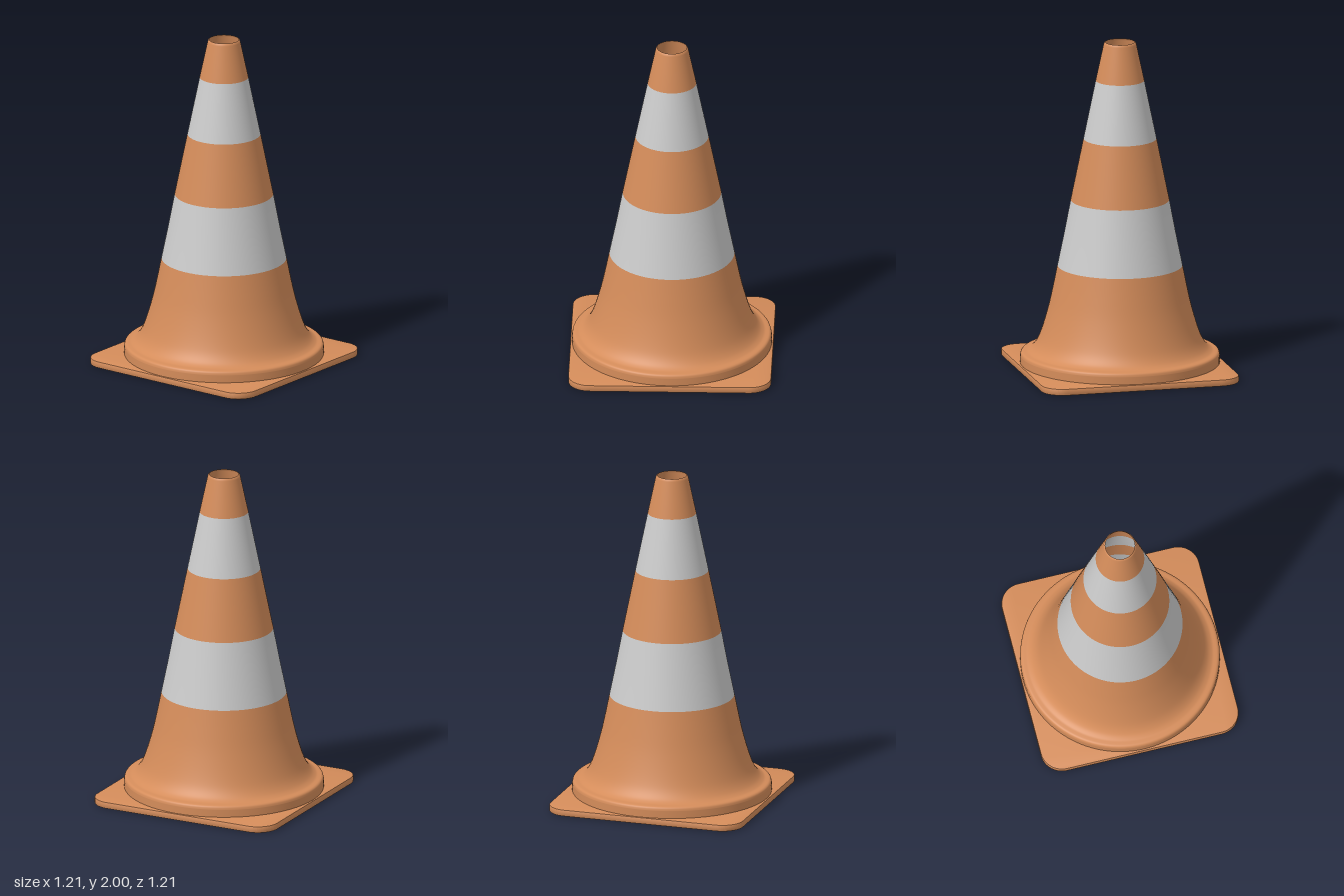
import * as THREE from 'three';
import { toCreasedNormals } from 'three/addons/utils/BufferGeometryUtils.js';

const orange = new THREE.MeshStandardMaterial({ color: 0xd48c5a, side: THREE.DoubleSide });
const grey = new THREE.MeshStandardMaterial({ color: 0xcccccc, side: THREE.DoubleSide });

const points = (list) => list.map(([r, y]) => new THREE.Vector2(r, y));

function addLathe(group, name, profile, material) {
  const mesh = new THREE.Mesh(new THREE.LatheGeometry(profile, 96), material);
  mesh.name = name;
  group.add(mesh);
}

export function createModel() {
  const model = new THREE.Group();
  model.name = 'trafficCone';

  // Square base plate with rounded corners and a fine bevel
  const half = 0.6, radius = 0.125, bevel = 0.005;
  const outline = new THREE.Shape();
  for (let i = 0; i < 4; i++) {
    const a = (i * Math.PI) / 2;
    const c = half - radius;
    const cx = i === 0 || i === 3 ? c : -c;
    const cy = i < 2 ? c : -c;
    outline.absarc(cx, cy, radius, a, a + Math.PI / 2, false);
  }
  outline.closePath();
  const plate = new THREE.ExtrudeGeometry(outline, {
    depth: 0.03, bevelEnabled: true, bevelSize: bevel, bevelThickness: bevel,
    bevelSegments: 2, curveSegments: 16,
  });
  plate.rotateX(-Math.PI / 2);
  plate.translate(0, bevel, 0);
  const base = new THREE.Mesh(toCreasedNormals(plate, 0.6), orange);
  base.name = 'basePlate';
  model.add(base);

  // Round foot rim with a softened upper edge
  const rim = new THREE.SplineCurve(points([
    [0.595, 0.085], [0.591, 0.1], [0.582, 0.108], [0.568, 0.111],
  ])).getPoints(12);
  addLathe(model, 'footRim', [...points([[0.595, 0.04]]), ...rim], orange);

  // Flared skirt sweeping up into the cone
  const skirt = new THREE.SplineCurve(points([
    [0.568, 0.111], [0.548, 0.116], [0.522, 0.135], [0.497, 0.17], [0.475, 0.22],
    [0.449, 0.3], [0.422, 0.4], [0.397, 0.515], [0.373, 0.635],
  ])).getPoints(48);
  addLathe(model, 'skirt', skirt, orange);

  // Alternating bands of the hollow cone
  addLathe(model, 'lowerStripe', points([[0.373, 0.635], [0.333, 0.83], [0.294, 1.035]]), grey);
  addLathe(model, 'middleBand', points([[0.294, 1.035], [0.218, 1.41]]), orange);
  addLathe(model, 'upperStripe', points([[0.218, 1.41], [0.145, 1.765]]), grey);
  addLathe(model, 'topBand', points([[0.145, 1.765], [0.098, 1.985], [0.094, 1.996], [0.088, 2]]), orange);

  return model;
}
